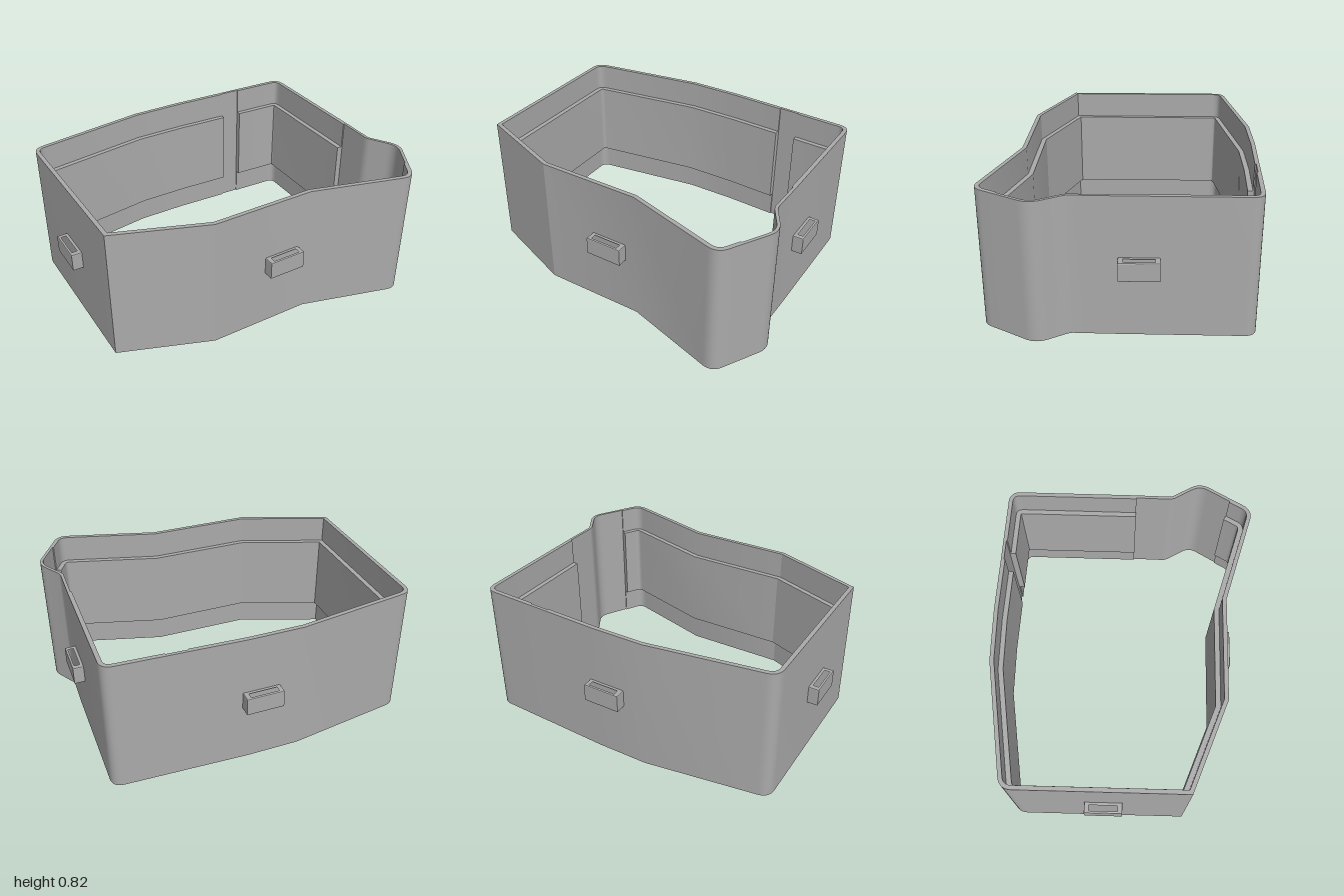
import * as THREE from 'three';
import { toCreasedNormals } from 'three/addons/utils/BufferGeometryUtils.js';

const HEIGHT = 0.82;

// Outer outline in four runs of [x, z, corner cut]; each run ends where the next begins
const RUNS = [
  [[0.45, -0.72, 0], [0.12, -0.735, 0], [-0.2, -0.735, 0], [-0.94, -0.625, 0.07],
    [-0.94, 0.43, 0], [-0.4, 0.635, 0], [0.22, 0.635, 0], [0.825, 0.81, 0.07], [0.9, 0.678, 0]],
  [[0.9, 0.678, 0], [1.012, 0.485, 0.07], [0.908, 0.31, 0.02], [0.912, 0.09, 0]],
  [[0.912, 0.09, 0], [0.915, -0.7, 0.07], [0.575, -0.715, 0]],
  [[0.575, -0.715, 0], [0.45, -0.72, 0]],
];

const vec = ([x, z]) => new THREE.Vector2(x, z);

// Replace each cut corner of a run with a short curve
function roundRun(run) {
  const out = [];
  run.forEach((p, i) => {
    const c = vec(p);
    if (!p[2]) { out.push(c); return; }
    const toward = (q) => c.clone().add(vec(q).sub(c).setLength(p[2]));
    const curve = new THREE.QuadraticBezierCurve(toward(run[i - 1]), c, toward(run[i + 1]));
    out.push(...curve.getPoints(10));
  });
  return out;
}

// Shift a run inward with mitred corners
function inset(points, d) {
  return points.map((p, i) => {
    const a = points[Math.max(i - 1, 0)];
    const b = points[Math.min(i + 1, points.length - 1)];
    const normal = (s, e) => new THREE.Vector2(e.y - s.y, s.x - e.x).normalize();
    const n1 = i > 0 ? normal(a, p) : normal(p, b);
    const n2 = i < points.length - 1 ? normal(p, b) : n1;
    const m = n1.clone().add(n2).normalize();
    return p.clone().addScaledVector(m, d / m.dot(n1));
  });
}

// Extrude a plan drawn in (x, z) upward from y0
function extrudePlan(outline, hole, y0, height, bevel = 0) {
  const flip = (pts) => pts.map((p) => new THREE.Vector2(p.x, -p.y));
  const shape = new THREE.Shape(flip(outline));
  if (hole) shape.holes.push(new THREE.Path(flip(hole)));
  const geometry = new THREE.ExtrudeGeometry(shape, {
    depth: height - 2 * bevel, bevelEnabled: bevel > 0,
    bevelSize: bevel, bevelThickness: bevel, bevelSegments: 2,
  });
  geometry.rotateX(-Math.PI / 2);
  geometry.translate(0, y0 + bevel, 0);
  return toCreasedNormals(geometry, 0.3);
}

const rectangle = (u, v0, v1) => [[-u, v0], [u, v0], [u, v1], [-u, v1]].map(vec);

export function createModel() {
  const model = new THREE.Group();
  const grey = new THREE.MeshStandardMaterial({ color: 0xaaaaaa });
  grey.name = 'grey plastic';
  const add = (name, geometry) => {
    const mesh = new THREE.Mesh(geometry, grey);
    mesh.name = name;
    model.add(mesh);
    return mesh;
  };

  // Open wall, thinner along the two runs without a liner
  const runs = RUNS.map(roundRun);
  const outer = runs.flatMap((r) => r.slice(0, -1));
  const inner = runs.flatMap((r, i) => inset(r, i % 2 ? 0.018 : 0.025));
  add('wall', extrudePlan(outer, inner, 0, HEIGHT));

  // Raised liners around the inside, stopping short of both rims
  [['mainLiner', 0], ['sideLiner', 2]].forEach(([name, i]) => {
    const band = [...inset(runs[i], 0.023), ...inset(runs[i], 0.055).reverse()];
    add(name, extrudePlan(band, null, 0.165, 0.49));
  });

  // Slotted strap loops on the four sides
  const loop = extrudePlan(rectangle(0.106, -0.006, 0.056), rectangle(0.085, 0.016, 0.049), 0.36, 0.11, 0.006);
  [
    ['frontLoop', 0.0425, 0.635, 0],
    ['rearLoop', 0.0425, -0.736, Math.PI],
    ['leftLoop', 0.913, -0.0625, Math.PI / 2],
    ['rightLoop', -0.94, -0.0625, -Math.PI / 2],
  ].forEach(([name, x, z, turn]) => {
    const mesh = add(name, loop);
    mesh.position.set(x, 0, z);
    mesh.rotation.y = turn;
  });

  return model;
}
